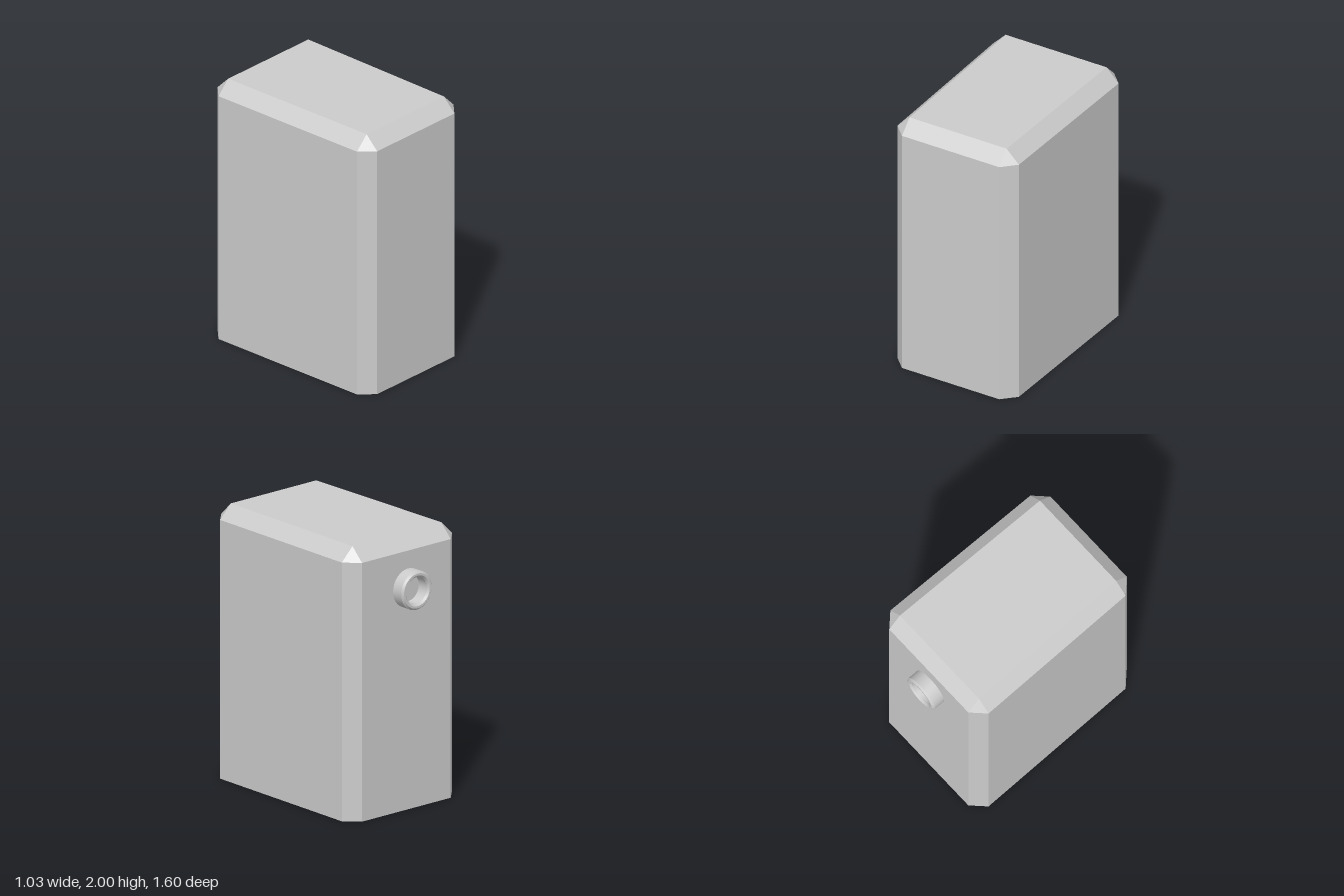
import * as THREE from 'three';
import { ConvexGeometry } from 'three/addons/geometries/ConvexGeometry.js';
import { toCreasedNormals } from 'three/addons/utils/BufferGeometryUtils.js';

export function createModel() {
  const model = new THREE.Group();
  const add = (name, geometry) => {
    const material = new THREE.MeshStandardMaterial({ color: 0xcccccc });
    const mesh = new THREE.Mesh(geometry, material);
    mesh.name = name;
    model.add(mesh);
    return mesh;
  };

  // Tank body: a block widening slightly to the back, with chamfered uprights and top edges
  const height = 2, chamfer = 0.1;
  const points = [];
  for (const side of [-1, 1]) {
    for (const [x, z, dir] of [[0.4, 0.7, 1], [0.415, -0.6, -1]]) {
      points.push(new THREE.Vector3(side * x, height, z));
      for (const y of [0, height - chamfer]) {
        points.push(new THREE.Vector3(side * (x + chamfer), y, z));
        points.push(new THREE.Vector3(side * x, y, z + dir * chamfer));
      }
    }
  }
  add('tankBody', new ConvexGeometry(points));

  // Hollow spout on the back, with a bevelled rim
  const profile = [
    [0.142, 0], [0.142, 0.086], [0.128, 0.1],
    [0.112, 0.1], [0.098, 0.086], [0.098, 0],
  ].map(([r, y]) => new THREE.Vector2(r, y));
  const spout = add('spout', toCreasedNormals(new THREE.LatheGeometry(profile, 32), 0.5));
  spout.rotation.x = -Math.PI / 2;
  spout.position.set(-0.018, 1.627, -0.7);

  return model;
}
